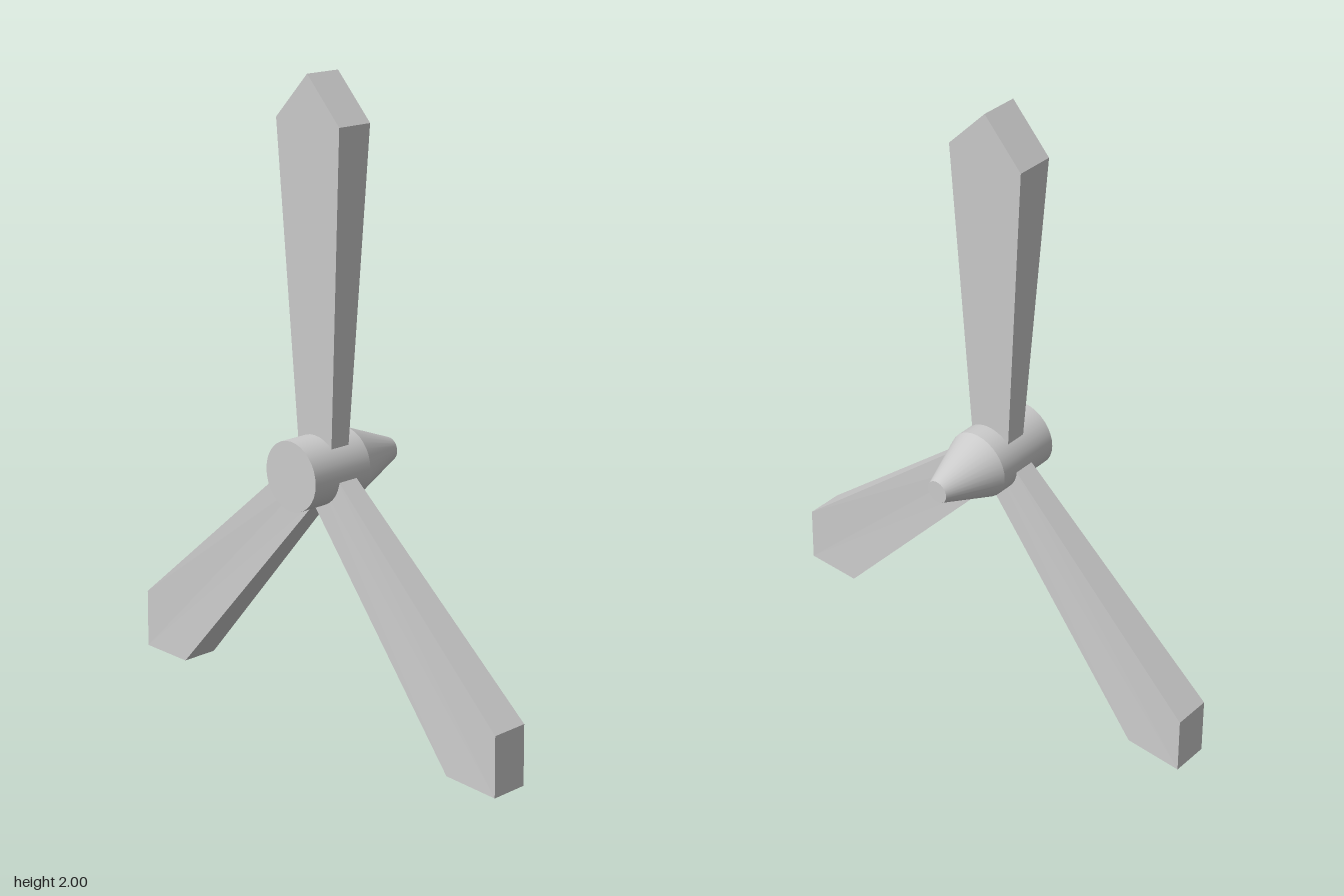
import * as THREE from 'three';

const material = new THREE.MeshStandardMaterial({ color: 0xcccccc });
const flatMaterial = new THREE.MeshStandardMaterial({ color: 0xcccccc, flatShading: true });

// Tapered blade along +y: widens and thickens to the shoulder, then ends in a point
function bladeGeometry(root, shoulder, tip) {
  const box = new THREE.BoxGeometry(2, 1, 2, 2, 1, 1);
  const p = box.attributes.position;
  for (let i = 0; i < p.count; i++) {
    const x = p.getX(i), z = p.getZ(i);
    const outer = p.getY(i) > 0;
    const y = outer ? (Math.abs(x) < 0.5 ? tip : shoulder) : root;
    p.setXYZ(i, x * (outer ? 0.135 : 0.071), y, z * (outer ? 0.061 : 0.034));
  }
  const geometry = box.toNonIndexed();
  geometry.computeVertexNormals();
  return geometry;
}

export function createModel() {
  const model = new THREE.Group();
  model.name = 'propeller';

  // Hub with a conical tail, axis along z
  const hub = new THREE.Group();
  hub.name = 'hub';
  hub.position.set(0.005, 0.8, 0);
  const addHubPart = (name, rFront, rBack, zFront, zBack, open) => {
    const geometry = new THREE.CylinderGeometry(rFront, rBack, zFront - zBack, 32, 1, open);
    geometry.rotateX(Math.PI / 2);
    const mesh = new THREE.Mesh(geometry, material);
    mesh.name = name;
    mesh.position.z = (zFront + zBack) / 2;
    hub.add(mesh);
  };
  addHubPart('hubCylinder', 0.11, 0.11, 0.205, -0.02, false);
  addHubPart('hubCone', 0.11, 0.037, -0.02, -0.205, false);
  model.add(hub);

  // Upright blade and two mirrored lower blades
  const addBlade = (name, x, y, angle, shoulder, tip) => {
    const blade = new THREE.Mesh(bladeGeometry(0.04, shoulder, tip), flatMaterial);
    blade.name = name;
    blade.position.set(x, y, 0.072);
    blade.rotation.z = angle;
    model.add(blade);
  };
  addBlade('topBlade', 0.005, 0.8, 0, 1.06, 1.2);
  for (const [name, side] of [['leftBlade', 1], ['rightBlade', -1]]) {
    addBlade(name, 0, 0.793, -side * Math.PI * 0.75, 0.982, 1.121);
  }

  return model;
}
